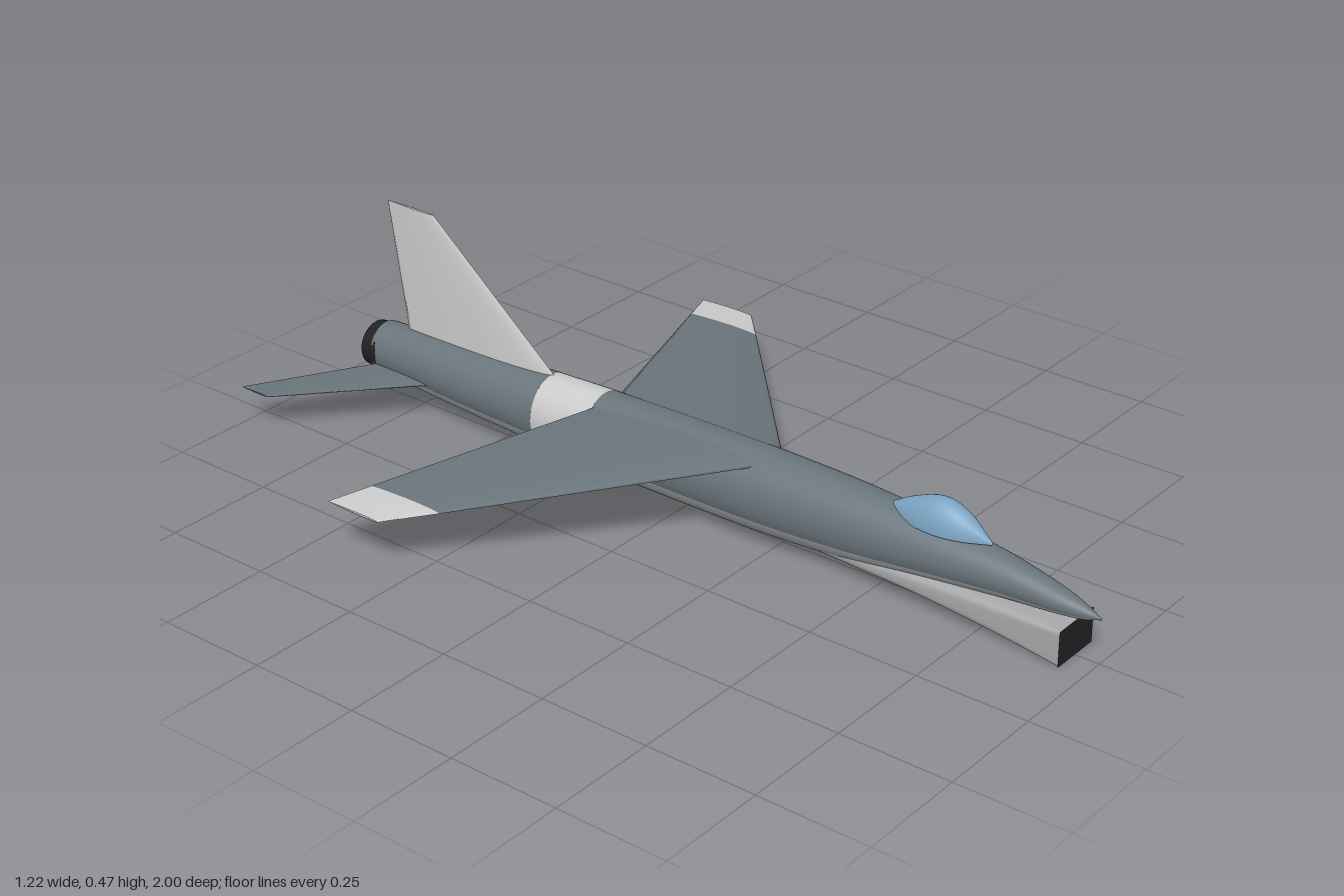
import * as THREE from 'three';
import { ParametricGeometry } from 'three/addons/geometries/ParametricGeometry.js';

const paint = (color) => new THREE.MeshStandardMaterial({ color, side: THREE.DoubleSide });
const upperGrey = paint(0x69747b);
const underGrey = paint(0xa6a8a9);
const paleGrey = paint(0xcccccc);
const dark = paint(0x222226);
const glass = paint(0x7ba5c4);

function part(name, geometry, material) {
  const mesh = new THREE.Mesh(geometry, material);
  mesh.name = name;
  return mesh;
}

// Smooth body through sections [z, top, bottom, halfWidth, power], listed tail to nose.
// Power 1 gives an ellipse, smaller powers give a squarer section.
function loft(sections, a0, a1, first = 0, last = sections.length - 1, slices = 24) {
  const curve = (pick) => new THREE.CatmullRomCurve3(sections.map(pick), false, 'catmullrom', 0.5);
  const heights = curve(([z, top, bottom]) => new THREE.Vector3(z, top, bottom));
  const widths = curve(([z, , , w, p = 1]) => new THREE.Vector3(z, w, p));
  const bend = (s, p) => Math.sign(s) * Math.abs(s) ** p;
  const surface = (u, v, target) => {
    const t = (first + v * (last - first)) / (sections.length - 1);
    const { x: z, y: top, z: bottom } = heights.getPoint(t);
    const { y: w, z: p } = widths.getPoint(t);
    const a = a0 + u * (a1 - a0);
    target.set(
      w * bend(Math.cos(a), p),
      (top + bottom) / 2 + ((top - bottom) / 2) * bend(Math.sin(a), p),
      z
    );
  };
  return new ParametricGeometry(surface, slices, 4 * (last - first));
}

// Aerofoil panel through stations [span, y, leadingZ, trailingZ, thickness]
function panel(stations, side = 1) {
  const n = stations.length - 1;
  const surface = (u, v, target) => {
    const i = Math.min(Math.floor(v * n), n - 1);
    const [x, y, lead, trail, thick] = stations[i].map((s, k) =>
      THREE.MathUtils.lerp(s, stations[i + 1][k], v * n - i));
    const a = -side * 2 * Math.PI * u;
    target.set(
      side * x,
      y + 0.65 * thick * Math.sin(a) * Math.abs(Math.cos(a / 2)),
      THREE.MathUtils.lerp(lead, trail, (1 - Math.cos(a)) / 2)
    );
  };
  return new ParametricGeometry(surface, 24, n * 2);
}

export function createModel() {
  const model = new THREE.Group();
  model.name = 'jet';

  // Fuselage, with a pale band around the rear and a lighter belly
  const hull = [
    [-0.86, 0.170, 0.050, 0.054],
    [-0.60, 0.182, 0.034, 0.067],
    [-0.37, 0.190, 0.024, 0.074],
    [-0.22, 0.195, 0.019, 0.077],
    [0.05, 0.200, 0.017, 0.080],
    [0.25, 0.200, 0.020, 0.079],
    [0.45, 0.195, 0.032, 0.071],
    [0.62, 0.181, 0.055, 0.060],
    [0.78, 0.162, 0.073, 0.043],
    [0.90, 0.136, 0.081, 0.029],
    [0.96, 0.118, 0.087, 0.015],
    [0.998, 0.101, 0.098, 0.001]
  ];
  const seam = -0.45;
  const nose = hull.length - 1;
  for (const [label, first, last] of [['rear', 0, 2], ['front', 3, nose]]) {
    model.add(part(label + 'FuselageUpper', loft(hull, seam, Math.PI - seam, first, last), upperGrey));
    model.add(part(label + 'FuselageBelly', loft(hull, Math.PI - seam, 2 * Math.PI + seam, first, last), underGrey));
  }
  model.add(part('fuselageBand', loft(hull, 0, 2 * Math.PI, 2, 3, 36), paleGrey));

  // Chin intake: square mouth blending into the round belly
  const duct = [
    [0.25, 0.080, 0.030, 0.040, 1],
    [0.45, 0.080, 0.026, 0.050, 0.9],
    [0.60, 0.080, 0.026, 0.054, 0.65],
    [0.78, 0.080, 0.014, 0.056, 0.4],
    [0.945, 0.080, 0.001, 0.061, 0.14]
  ];
  model.add(part('intakeDuct', loft(duct, 0, 2 * Math.PI, 0, 4, 64), underGrey));
  const mouth = part('intakeMouth', new THREE.PlaneGeometry(0.122, 0.079), dark);
  mouth.position.set(0, 0.0405, 0.945);
  model.add(mouth);

  // Canopy
  const canopy = [
    [0.495, 0.176, 0.168, 0.002],
    [0.56, 0.214, 0.130, 0.030],
    [0.63, 0.237, 0.107, 0.041],
    [0.69, 0.219, 0.125, 0.031],
    [0.75, 0.175, 0.169, 0.002]
  ];
  model.add(part('canopy', loft(canopy, 0, Math.PI), glass));

  // Swept wings with pale tips, and tailplanes
  const wing = [
    [0.03, 0.181, 0.222, -0.208, 0.022],
    [0.52, 0.131, -0.218, -0.404, 0.009]
  ];
  const wingTip = [
    wing[1],
    [0.61, 0.122, -0.300, -0.440, 0.006],
    [0.61, 0.122, -0.300, -0.440, 0]
  ];
  const tailplane = [
    [0.02, 0.087, -0.650, -0.833, 0.009],
    [0.315, 0.087, -0.918, -1.000, 0.004],
    [0.315, 0.087, -0.918, -1.000, 0]
  ];
  for (const [label, side] of [['left', 1], ['right', -1]]) {
    model.add(part(label + 'Wing', panel(wing, side), upperGrey));
    model.add(part(label + 'WingTip', panel(wingTip, side), paleGrey));
    model.add(part(label + 'Tailplane', panel(tailplane, side), upperGrey));
  }

  // Fin: a panel turned upright
  const fin = part('fin', panel([
    [0.15, 0, -0.316, -0.785, 0.028],
    [0.47, 0, -0.700, -0.835, 0.008],
    [0.47, 0, -0.700, -0.835, 0]
  ]), paleGrey);
  fin.rotation.z = Math.PI / 2;
  model.add(fin);

  // Exhaust nozzle with a recessed centre
  const nozzle = part('exhaustNozzle', new THREE.LatheGeometry([
    [0.052, -0.02], [0.056, 0], [0.052, 0.04], [0.046, 0.04], [0.042, 0.015], [0, 0.015]
  ].map(([r, h]) => new THREE.Vector2(r, h)), 24), dark);
  nozzle.rotation.x = -Math.PI / 2;
  nozzle.position.set(0, 0.11, -0.85);
  model.add(nozzle);

  return model;
}
